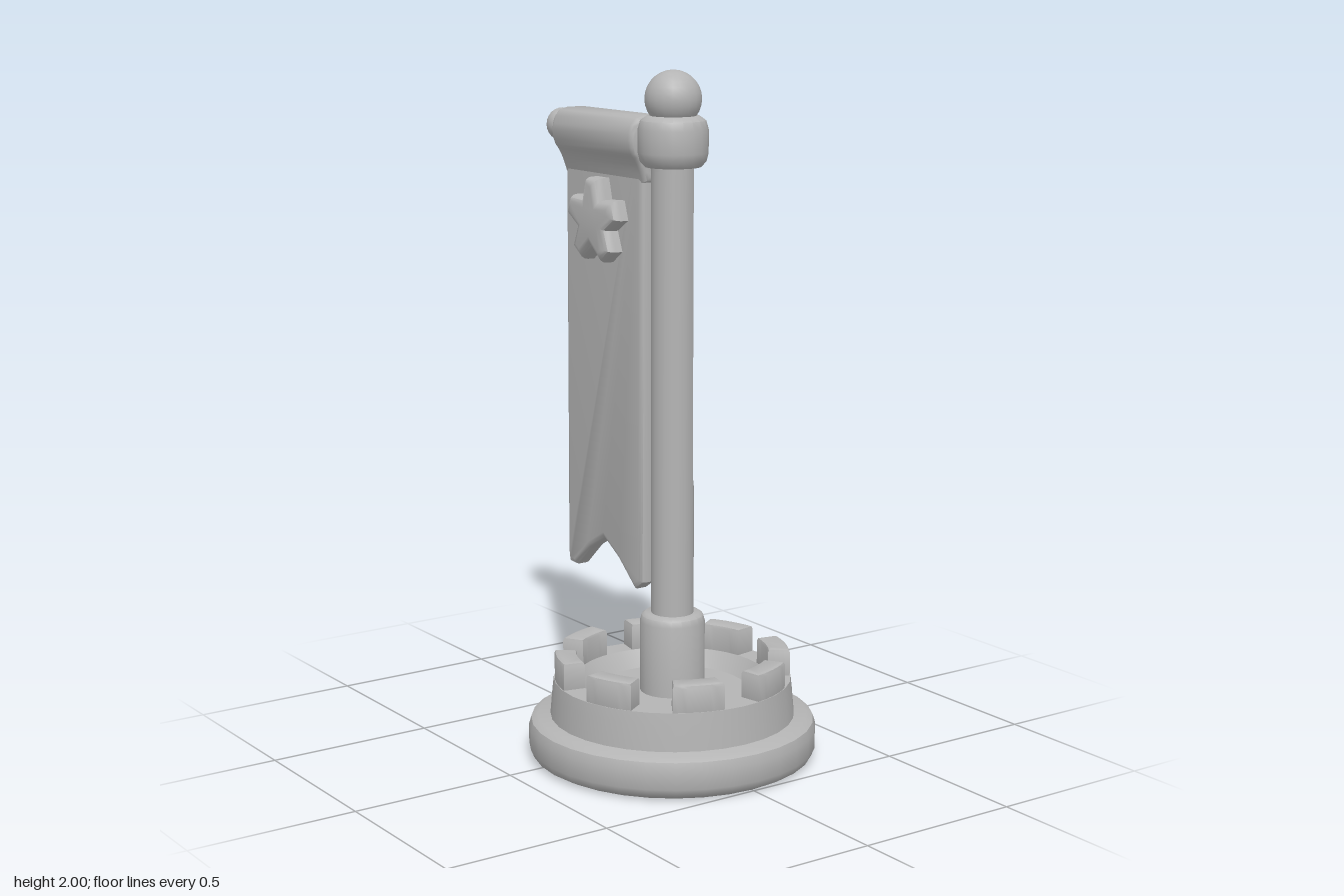
import * as THREE from 'three';
import { toCreasedNormals } from 'three/addons/utils/BufferGeometryUtils.js';

const POLE_Z = 0.1;

export function createModel() {
  const group = new THREE.Group();
  const stone = new THREE.MeshStandardMaterial({ color: 0xb4b4b4 });
  stone.name = 'plain grey';

  function add(name, geometry, x = 0, y = 0, z = 0, crease = 0.7) {
    const mesh = new THREE.Mesh(toCreasedNormals(geometry, crease), stone);
    mesh.name = name;
    mesh.position.set(x, y, z);
    group.add(mesh);
    return mesh;
  }
  const lathe = (points, sides = 32) =>
    new THREE.LatheGeometry(points.map(([r, y]) => new THREE.Vector2(r, y)), sides);
  const shapeOf = (points) => new THREE.Shape(points.map(([x, y]) => new THREE.Vector2(x, y)));

  // Round foot
  add('foot', lathe([[0, 0], [0.39, 0], [0.412, 0.012], [0.422, 0.035], [0.422, 0.09],
    [0.415, 0.113], [0.395, 0.125], [0, 0.125]]), 0, 0, POLE_Z);

  // Tower wall with a sunken floor
  add('towerWall', lathe([[0.36, 0.11], [0.352, 0.2], [0.348, 0.235], [0.28, 0.235],
    [0.24, 0.175], [0.228, 0.175], [0.222, 0.195], [0, 0.195]]), 0, 0, POLE_Z);

  // Eight battlements, with gaps on the main axes
  const bevel = 0.01;
  const half = THREE.MathUtils.degToRad(11);
  const arc = new THREE.Shape();
  arc.absarc(0, 0, 0.345 - bevel, -half, half, false);
  arc.absarc(0, 0, 0.28 + bevel, half, -half, true);
  const merlon = new THREE.ExtrudeGeometry(arc, {
    depth: 0.1, curveSegments: 4, bevelSize: bevel, bevelThickness: bevel, bevelSegments: 2,
  });
  merlon.rotateX(-Math.PI / 2);
  for (let i = 0; i < 8; i++) {
    add('battlement', merlon, 0, 0.205, POLE_Z).rotation.y = (i + 0.5) * Math.PI / 4;
  }

  // Pole, flattened on its left side above the lower part
  const pole = new THREE.CylinderGeometry(0.062, 0.062, 1.6, 20, 16);
  const p = pole.attributes.position;
  for (let i = 0; i < p.count; i++) {
    const t = THREE.MathUtils.smoothstep(p.getY(i) + 1, 0.7, 0.95);
    p.setX(i, Math.min(p.getX(i), 0.062 - 0.026 * t));
  }
  add('pole', pole, 0, 1, POLE_Z);

  // Socket, collar and top ball
  add('socket', lathe([[0.095, 0.18], [0.095, 0.405], [0.09, 0.423], [0.08, 0.43], [0, 0.43]], 20),
    0, 0, POLE_Z);
  add('collar', lathe([[0, 1.73], [0.08, 1.73], [0.094, 1.745], [0.1, 1.77], [0.1, 1.835],
    [0.093, 1.86], [0.075, 1.873], [0, 1.873]], 20), 0, 0, POLE_Z);
  add('topBall', new THREE.SphereGeometry(0.081, 20, 14), 0, 1.92, POLE_Z);

  // Cross bar with its end ball
  const bar = new THREE.CylinderGeometry(0.03, 0.03, 0.55, 12);
  bar.rotateX(Math.PI / 2);
  add('crossBar', bar, 0, 1.81, -0.18);
  add('endBall', new THREE.SphereGeometry(0.05, 16, 12), 0, 1.81, -0.472);

  // Banner cloth with a swallow-tail end, drawn in the z-y plane
  const turn = (geometry, depth) => {
    geometry.translate(0, 0, -depth / 2);
    geometry.rotateY(Math.PI / 2); // shape x becomes -z, depth becomes x
    return geometry;
  };
  const cloth = shapeOf([[0.032, 1.8], [0.03, 1.2], [0.036, 0.5], [0.058, 0.485], [0.135, 0.552],
    [0.222, 0.605], [0.308, 0.555], [0.382, 0.487], [0.4, 0.488], [0.404, 0.51], [0.4, 1.8]]);
  add('bannerCloth', turn(new THREE.ExtrudeGeometry(cloth, {
    depth: 0.03, bevelSize: 0.016, bevelThickness: 0.013, bevelSegments: 3,
  }), 0.03));

  // Rolled hem: round over the bar, narrowing down into the cloth
  const hem = new THREE.Shape();
  hem.moveTo(-0.014, 1.69);
  hem.lineTo(0.014, 1.69);
  hem.quadraticCurveTo(0.03, 1.74, 0.052, 1.765);
  hem.bezierCurveTo(0.066, 1.79, 0.066, 1.85, 0.025, 1.852);
  hem.lineTo(-0.025, 1.852);
  hem.bezierCurveTo(-0.066, 1.85, -0.066, 1.79, -0.052, 1.765);
  hem.quadraticCurveTo(-0.03, 1.74, -0.014, 1.69);
  add('bannerHem', new THREE.ExtrudeGeometry(hem, {
    depth: 0.39, curveSegments: 6, bevelSize: 0.015, bevelThickness: 0.018, bevelSegments: 3,
  }), 0, 0, -0.406, 0.9);

  // Puffy star showing on both faces of the cloth
  const tips = [];
  for (let i = 0; i < 10; i++) {
    const a = Math.PI / 2 + i * Math.PI / 5;
    const r = i % 2 ? 0.045 : 0.1;
    const spread = i % 2 ? [0] : [-0.1, 0.1];
    for (const s of spread) tips.push([r * Math.cos(a + s), r * Math.sin(a + s)]);
  }
  add('star', turn(new THREE.ExtrudeGeometry(shapeOf(tips), {
    depth: 0.1, bevelSize: 0.026, bevelThickness: 0.033, bevelSegments: 4,
  }), 0.1), 0, 1.55, -0.212, 0.9);

  return group;
}
